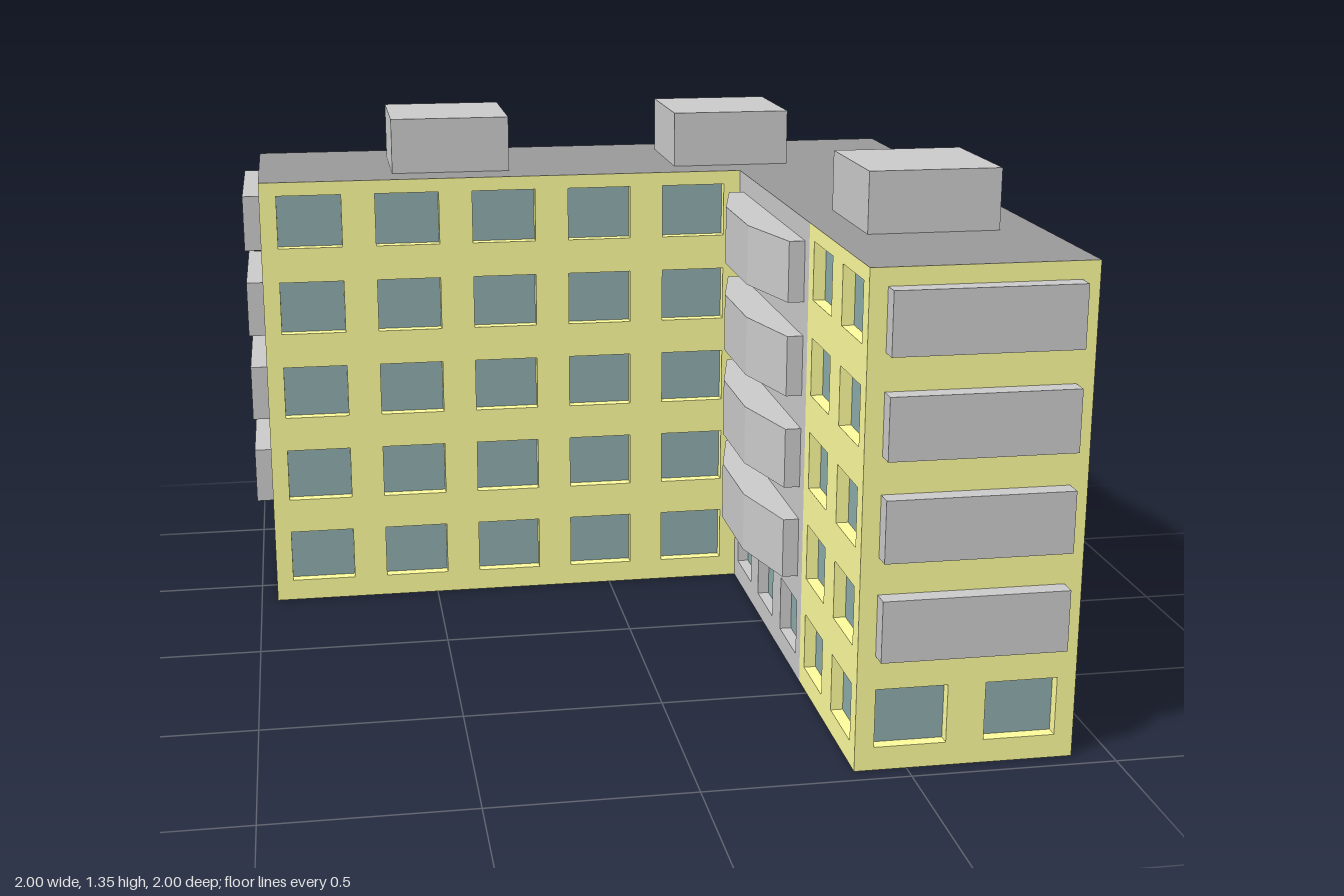
import * as THREE from 'three';
import { mergeGeometries } from 'three/addons/utils/BufferGeometryUtils.js';

const BAY = 1.86 / 7, FLOORS = 5, STOREY = 0.24, HEIGHT = 1.2, REVEAL = 0.03;
const WIN_W = 0.174, WIN_H = 0.145, WIN_Y = 0.058;
const X0 = -0.955, X1 = 0.905, Z0 = -0.905, Z1 = 0.955;
const XI = X1 - 2 * BAY, ZI = Z0 + 2 * BAY; // inner corner of the L

const mat = (color, extra = {}) =>
  new THREE.MeshStandardMaterial({ color, flatShading: true, ...extra });

export function createModel() {
  const yellow = mat(0xfffd9d), grey = mat(0xcccccc), glass = mat(0x8eacac);
  const slab = mat(0x9a9a9a, { side: THREE.DoubleSide });
  const model = new THREE.Group();
  model.name = 'apartmentBlock';

  const add = (parent, name, geometry, material) => {
    const mesh = new THREE.Mesh(geometry, material);
    mesh.name = name;
    parent.add(mesh);
    return mesh;
  };

  // A stretch of wall with recessed windows, one per bay and floor
  function wall(parent, firstBay, bays, floors, material) {
    const w = bays * BAY;
    const shape = new THREE.Shape([[0, 0], [w, 0], [w, HEIGHT], [0, HEIGHT]]
      .map(p => new THREE.Vector2(...p)));
    const panes = [];
    for (let b = 0; b < bays; b++) {
      for (let f = 0; f < floors; f++) {
        const l = (b + 0.5) * BAY - WIN_W / 2, r = l + WIN_W;
        const y = WIN_Y + f * STOREY, t = y + WIN_H;
        shape.holes.push(new THREE.Path([[l, y], [l, t], [r, t], [r, y]]
          .map(p => new THREE.Vector2(...p))));
        panes.push(new THREE.PlaneGeometry(WIN_W, WIN_H)
          .translate((l + r) / 2, (y + t) / 2, -REVEAL));
      }
    }
    const geo = new THREE.ExtrudeGeometry(shape, { depth: REVEAL, bevelEnabled: false });
    geo.translate(0, 0, -REVEAL);
    // mitre the hidden rear rim so walls meet cleanly at corners and roof
    const pos = geo.attributes.position;
    const inset = (v, max) => (v < 1e-4 ? REVEAL : v > max - 1e-4 ? max - REVEAL : v);
    for (let i = 0; i < pos.count; i++) {
      if (pos.getZ(i) < -REVEAL / 2) {
        pos.setXY(i, inset(pos.getX(i), w), inset(pos.getY(i), HEIGHT));
      }
    }
    geo.computeVertexNormals();
    const section = new THREE.Group();
    section.name = 'wallSection';
    section.position.x = firstBay * BAY;
    add(section, 'wall', geo, material);
    add(section, 'windowPanes', mergeGeometries(panes), glass);
    parent.add(section);
  }

  // One balcony per upper floor, from a plan outline of [along, outward] points
  function balconies(parent, centre, outline, y, height) {
    const shape = new THREE.Shape(outline.map(p => new THREE.Vector2(...p)));
    const geo = new THREE.ExtrudeGeometry(shape, { depth: height, bevelEnabled: false });
    geo.rotateX(Math.PI / 2).translate(0, height, 0);
    for (let f = 1; f < FLOORS; f++) {
      add(parent, 'balcony', geo, grey).position.set(centre, y + (f - 1) * STOREY, 0);
    }
  }
  const bowed = [[-0.355, 0], [0.355, 0], [0.355, 0.04], [0.135, 0.095], [-0.135, 0.095], [-0.355, 0.04]];
  const straight = [[-0.223, 0], [0.223, 0], [0.223, 0.045], [-0.223, 0.045]];

  // Facades: local x runs along the wall, local z points outward
  function facade(name, x, z, turn) {
    const group = new THREE.Group();
    group.name = name;
    group.position.set(x, 0, z);
    group.rotation.y = turn * Math.PI / 2;
    model.add(group);
    return group;
  }
  function bowedBay(parent, firstBay) {
    wall(parent, firstBay, 3, 1, grey);
    balconies(parent, (firstBay + 1.5) * BAY, bowed, 0.273, 0.154);
  }
  function endWall(name, x, z, turn) {
    const f = facade(name, x, z, turn);
    wall(f, 0, 2, 1, yellow);
    balconies(f, BAY, straight, 0.287, 0.15);
  }

  endWall('frontEnd', XI, Z1, 0);
  endWall('rightEnd', X0, Z0, -1);

  for (const f of [facade('leftFacade', X1, Z1, 1), facade('backFacade', X1, Z0, 2)]) {
    wall(f, 0, 2, FLOORS, yellow);
    bowedBay(f, 2);
    wall(f, 5, 2, FLOORS, yellow);
  }

  wall(facade('innerFrontFacade', X0, ZI, 0), 0, 5, FLOORS, yellow);

  const innerSide = facade('innerSideFacade', XI, ZI, -1);
  bowedBay(innerSide, 0);
  wall(innerSide, 3, 2, FLOORS, yellow);

  // Roof and base slabs
  const plan = new THREE.Shape([[X0, Z0], [X0, ZI], [XI, ZI], [XI, Z1], [X1, Z1], [X1, Z0]]
    .map(([x, z]) => new THREE.Vector2(x, -z)));
  const planGeo = new THREE.ShapeGeometry(plan).rotateX(-Math.PI / 2);
  add(model, 'roof', planGeo, slab).position.y = HEIGHT;
  add(model, 'base', planGeo, slab);

  // Rooftop stair housings
  const housing = new THREE.BoxGeometry(0.325, 0.15, 0.325);
  for (const [x, z] of [[-0.427, -0.638], [0.368, -0.638], [0.634, 0.425]]) {
    add(model, 'roofHousing', housing, grey).position.set(x, HEIGHT + 0.075, z);
  }
  return model;
}
